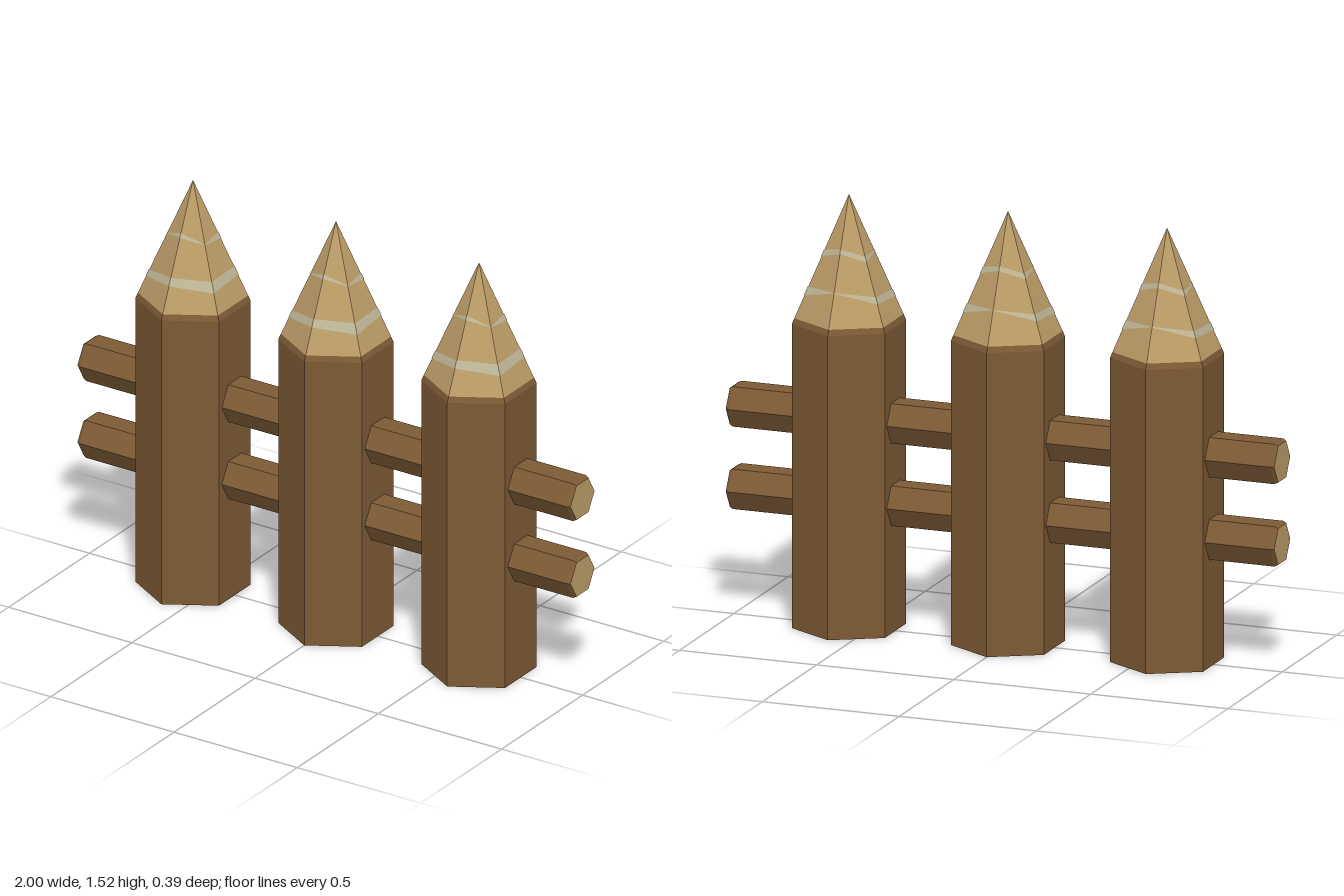
import * as THREE from 'three';

const material = (color) => new THREE.MeshStandardMaterial({ color, flatShading: true });
const SIDES = 6;
const TIP_Y = 1.52, SLOPE = 0.196 / 0.45; // sharpened tip: radius lost per unit of height

// Six-sided solid turned from [radius, height] pairs
function turned(name, profile, mat) {
  const points = profile.map(([r, y]) => new THREE.Vector2(r, y));
  const mesh = new THREE.Mesh(new THREE.LatheGeometry(points, SIDES), mat);
  mesh.name = name;
  return mesh;
}

// Pale grain ring lying on the tip, given the [low, high] height at each corner
function grainRing(name, heights, mat) {
  const positions = [], index = [];
  for (let i = 0; i <= SIDES; i++) {
    const angle = (i / SIDES) * Math.PI * 2;
    for (const y of heights[i % SIDES]) {
      const r = (TIP_Y - y) * SLOPE + 0.002;
      positions.push(Math.sin(angle) * r, y, Math.cos(angle) * r);
    }
    if (i < SIDES) {
      const a = i * 2;
      index.push(a, a + 2, a + 3, a, a + 3, a + 1);
    }
  }
  const geometry = new THREE.BufferGeometry();
  geometry.setAttribute('position', new THREE.Float32BufferAttribute(positions, 3));
  geometry.setIndex(index);
  geometry.computeVertexNormals();
  const mesh = new THREE.Mesh(geometry, mat);
  mesh.name = name;
  return mesh;
}

export function createModel() {
  const model = new THREE.Group();
  model.name = 'fence';
  const bark = material(0x7d5a35);
  const wood = material(0xbc9c68);
  const grain = material(0xc0b798);

  const lowerRing = [[1.18, 1.207], [1.16, 1.197], [1.17, 1.2], [1.205, 1.207], [1.165, 1.188], [1.155, 1.18]];
  const upperRing = [[1.335, 1.35], [1.314, 1.316], [1.305, 1.328], [1.33, 1.345], [1.3, 1.318], [1.319, 1.321]];

  // Posts with bark shaft and sharpened tip
  for (const x of [-0.58, 0, 0.58]) {
    const post = new THREE.Group();
    post.name = 'post';
    post.position.x = x;
    const tipRadius = (TIP_Y - 1.09) * SLOPE;
    post.add(
      turned('postShaft', [[0, 0], [0.196, 0], [0.196, 1.07], [tipRadius, 1.09]], bark),
      turned('postTip', [[tipRadius, 1.09], [0, TIP_Y]], wood),
      grainRing('lowerGrainRing', lowerRing, grain),
      grainRing('upperGrainRing', upperRing, grain)
    );
    model.add(post);
  }

  // Rails running through the posts, with chamfered cut ends
  for (const y of [0.45, 0.74]) {
    const rail = new THREE.Group();
    rail.name = 'rail';
    rail.position.y = y;
    rail.rotation.z = -Math.PI / 2;
    rail.add(
      turned('railBark', [[0.074, -1], [0.081, -0.988], [0.081, 0.988], [0.074, 1]], bark),
      turned('railEndRight', [[0, -1], [0.074, -1]], wood),
      turned('railEndLeft', [[0.074, 1], [0, 1]], wood)
    );
    model.add(rail);
  }
  return model;
}
